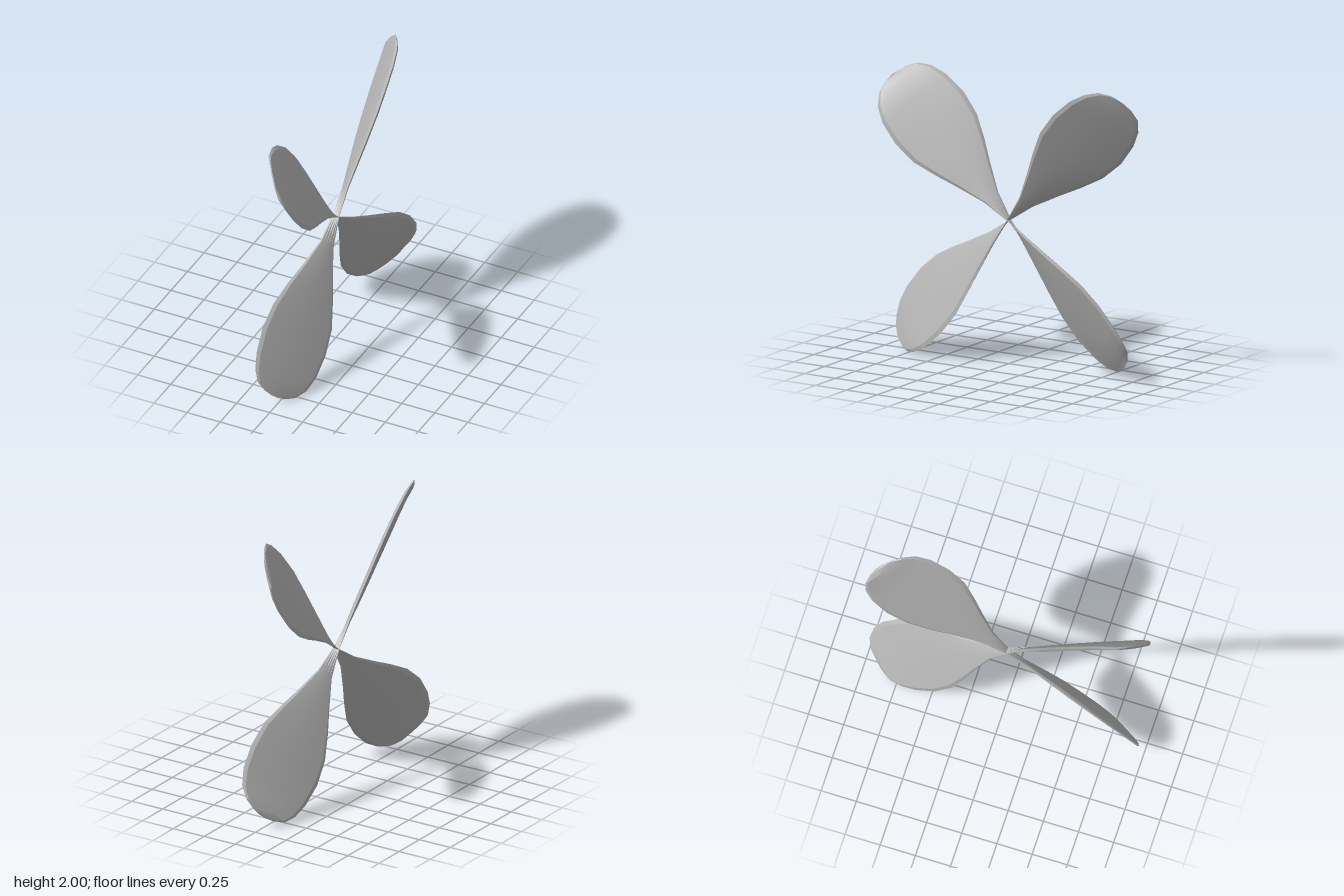
import * as THREE from 'three';
import { toCreasedNormals } from 'three/addons/utils/BufferGeometryUtils.js';

// Blade stations from hub to tip:
// radius, leading edge (offset, x), trailing edge (offset, x), half thickness
const STATIONS = [
  [0.0, 0.001, -0.025, -0.001, 0.025, 0.002],
  [0.2, 0.045, -0.035, -0.05, 0.035, 0.012],
  [0.4, 0.115, -0.075, -0.122, 0.075, 0.018],
  [0.55, 0.172, -0.108, -0.18, 0.108, 0.02],
  [0.72, 0.226, -0.138, -0.238, 0.14, 0.021],
  [0.9, 0.243, -0.15, -0.258, 0.15, 0.021],
  [1.07, 0.22, -0.143, -0.244, 0.142, 0.02],
  [1.18, 0.18, -0.128, -0.21, 0.118, 0.018],
  [1.25, 0.125, -0.106, -0.163, 0.075, 0.015],
  [1.285, 0.06, -0.062, -0.1, 0.032, 0.006],
  [1.297, 0.0, -0.022, -0.04, 0.004, 0.001],
];

// Chord position and relative thickness: a shallow lens with a bevelled rim
const FACE = [[-0.9, 0.65], [-0.6, 0.85], [-0.2, 1], [0.2, 1], [0.6, 0.85], [0.9, 0.65]];
const SECTION = [
  [-1, 0], ...FACE, [1, 0],
  ...FACE.map(([s, h]) => [s, -h]).reverse(),
];

// Twisted blade lofted along +y from the hub axis
function bladeGeometry() {
  const positions = [];
  const index = [];
  const n = SECTION.length;
  for (const [r, leadT, leadX, trailT, trailX, thick] of STATIONS) {
    const lead = new THREE.Vector3(leadX, r, -leadT);
    const trail = new THREE.Vector3(trailX, r, -trailT);
    const chord = lead.clone().sub(trail).normalize();
    const normal = new THREE.Vector3(-chord.z, 0, chord.x);
    for (const [s, h] of SECTION) {
      const p = trail.clone().lerp(lead, (s + 1) / 2).addScaledVector(normal, h * thick);
      positions.push(p.x, p.y, p.z);
    }
  }
  for (let i = 0; i < STATIONS.length - 1; i++) {
    for (let j = 0; j < n; j++) {
      const a = i * n + j;
      const b = i * n + (j + 1) % n;
      index.push(a, b, b + n, a, b + n, a + n);
    }
  }
  // Close the tip
  const top = (STATIONS.length - 1) * n;
  for (let j = 1; j < n - 1; j++) index.push(top, top + j, top + j + 1);

  const geometry = new THREE.BufferGeometry();
  geometry.setAttribute('position', new THREE.Float32BufferAttribute(positions, 3));
  geometry.setIndex(index);
  return toCreasedNormals(geometry, 0.35);
}

export function createModel() {
  const group = new THREE.Group();
  group.name = 'propeller';
  const metal = new THREE.MeshStandardMaterial({ color: 0xb4b4b4 });
  metal.name = 'grey metal';
  const geometry = bladeGeometry();

  // Four equal blades around the x axis
  for (let i = 0; i < 4; i++) {
    const blade = new THREE.Mesh(geometry, metal);
    blade.name = `blade${i + 1}`;
    blade.rotation.x = Math.PI / 4 + i * Math.PI / 2;
    blade.position.y = 1;
    group.add(blade);
  }
  return group;
}
